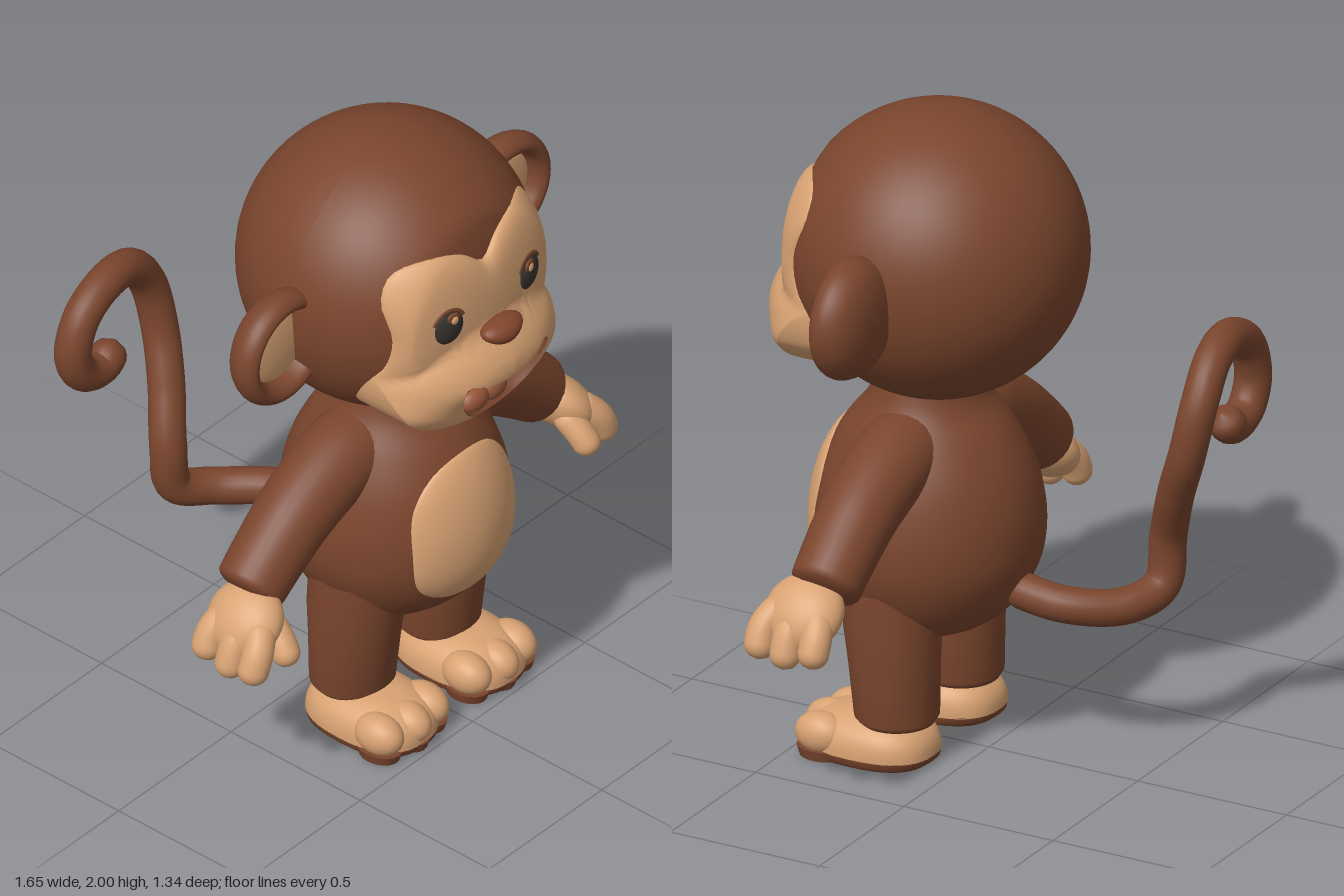
import * as THREE from 'three';

const mat = (name, color, side = THREE.FrontSide) => {
  const m = new THREE.MeshStandardMaterial({ color, side });
  m.name = name;
  return m;
};
const V = (x, y, z) => new THREE.Vector3(x, y, z);
const TAU = Math.PI * 2;
const { smoothstep, lerp } = THREE.MathUtils;

// Skin a surface over closed rings of equal point count
function loft(rings) {
  const n = rings[0].length, pos = [], idx = [];
  rings.forEach(r => r.forEach(p => pos.push(p.x, p.y, p.z)));
  for (let i = 0; i < rings.length - 1; i++) for (let j = 0; j < n; j++) {
    const a = i * n + j, d = i * n + (j + 1) % n, b = a + n, c = d + n;
    idx.push(a, b, c, a, c, d);
  }
  const g = new THREE.BufferGeometry();
  g.setAttribute('position', new THREE.Float32BufferAttribute(pos, 3));
  g.setIndex(idx);
  g.computeVertexNormals();
  return g;
}
const ring = (n, f) => Array.from({ length: n }, (_, j) => f(j / n * TAU));

// Round-ended tube whose radius changes along its path
function limb(points, radius, n = 40, cap = 1, sides = 20) {
  const curve = new THREE.CatmullRomCurve3(points.map(p => V(...p)));
  const L = curve.getLength(), fr = curve.computeFrenetFrames(n), rings = [];
  for (let i = 0; i <= n; i++) {
    const t = i / n, r = radius(t), c = curve.getPointAt(t);
    const d = Math.min(1, Math.min(t, 1 - t) * L / (r * cap));
    const rr = r * Math.sqrt(Math.max(0, 1 - (1 - d) ** 2));
    rings.push(ring(sides, a => c.clone()
      .addScaledVector(fr.binormals[i], Math.cos(a) * rr)
      .addScaledVector(fr.normals[i], Math.sin(a) * rr)));
  }
  return loft(rings);
}

// Radius by angle of a mirrored outline, given its +x half from top to bottom
function radial(half, cy) {
  const left = half.slice(1, -1).reverse().map(([x, y]) => [-x, y]);
  const curve = new THREE.CatmullRomCurve3([...half, ...left].map(([x, y]) => V(x, y - cy, 0)), true);
  const tab = curve.getPoints(400).map(p => [(Math.atan2(p.y, p.x) + TAU) % TAU, Math.hypot(p.x, p.y)])
    .sort((p, q) => p[0] - q[0]);
  return a => {
    const i = tab.findIndex(p => p[0] >= a);
    if (i <= 0) return tab[0][1];
    const [p, q] = [tab[i - 1], tab[i]];
    return lerp(p[1], q[1], (a - p[0]) / (q[0] - p[0] || 1));
  };
}

// Head surface with a flattened face, and the muzzle that swells from it
const HY = 1.555, HZ = 0.17, HR = 0.445;
const flatten = z => z > 0.5 ? 0.5 + (z - 0.5) * 0.45 : z;
const headZ = (x, y) => flatten(HZ + Math.sqrt(Math.max(0, HR * HR - x * x - (y - HY) ** 2)));
function muzzleZ(x, y) {
  const q = 1 - (x / 0.365) ** 2 - ((y - 1.365) / 0.2) ** 2;
  if (q <= 0) return 0;
  return 0.4 + lerp(0.23 * q ** 0.25, 0.27 * q ** 0.5, smoothstep(y, 1.29, 1.39));
}

// Torso half widths (x, z) by height
const torsoTable = new THREE.CatmullRomCurve3([
  V(0.01, 0.36, 0.01), V(0.13, 0.37, 0.12), V(0.23, 0.41, 0.21), V(0.295, 0.49, 0.285), V(0.338, 0.6, 0.333),
  V(0.345, 0.7, 0.343), V(0.33, 0.8, 0.333), V(0.3, 0.9, 0.303), V(0.25, 1, 0.25), V(0.19, 1.1, 0.175),
  V(0.16, 1.2, 0.15)]).getPoints(60);
function torsoZ(x, y) {
  const i = Math.max(1, torsoTable.findIndex(p => p.y >= y));
  const a = torsoTable[i - 1], b = torsoTable[i];
  const s = a.clone().lerp(b, (y - a.y) / (b.y - a.y));
  return 0.2 + s.z * Math.sqrt(Math.max(0, 1 - (x / s.x) ** 2));
}

export function createModel() {
  const model = new THREE.Group();
  model.name = 'monkey';
  const fur = mat('brown fur', 0x7a452d), skin = mat('tan skin', 0xd8a273);
  const eyeDark = mat('dark eye', 0x37332e), noseMat = mat('nose brown', 0x82462d);
  const mouthMat = mat('mouth brown', 0x74402a, THREE.DoubleSide), tongueMat = mat('tongue', 0x965639);
  const add = (parent, name, geo, material) => {
    const m = new THREE.Mesh(geo, material);
    m.name = name;
    parent.add(m);
    return m;
  };
  const ball = (parent, name, material, p, s) => {
    const m = add(parent, name, new THREE.SphereGeometry(1, 28, 20), material);
    m.position.set(...p);
    m.scale.set(...s);
    return m;
  };
  const group = (parent, name) => {
    const g = new THREE.Group();
    g.name = name;
    parent.add(g);
    return g;
  };

  // Head
  const headGeo = new THREE.SphereGeometry(HR, 64, 48).translate(0, HY, HZ);
  const hp = headGeo.attributes.position;
  for (let i = 0; i < hp.count; i++) hp.setZ(i, flatten(hp.getZ(i)));
  headGeo.computeVertexNormals();
  add(model, 'head', headGeo, fur);

  // Face mask, spanning from the mouth opening to the heart-shaped hairline
  const MY = 1.31, N = 120;
  const mouth = radial([[0, 1.36], [0.09, 1.37], [0.165, 1.392], [0.182, 1.375], [0.165, 1.3], [0.1, 1.228], [0, 1.207]], MY);
  const hairline = radial([[0, 1.725], [0.07, 1.775], [0.17, 1.805], [0.28, 1.78], [0.33, 1.7], [0.325, 1.58],
    [0.335, 1.48], [0.352, 1.4], [0.325, 1.3], [0.2, 1.205], [0, 1.165]], MY);
  const maskRings = [];
  for (let i = 0; i <= 26; i++) {
    const t = 1 - (1 - i / 26) ** 2;
    maskRings.push(ring(N, a => {
      const r = lerp(mouth(a), hairline(a), t), x = r * Math.cos(a), y = MY + r * Math.sin(a), h = headZ(x, y);
      return V(x, y, i === 26 ? h - 0.01 : Math.max(h + 0.032 * Math.sqrt(1 - t ** 12), muzzleZ(x, y)));
    }));
  }
  add(model, 'faceMask', loft(maskRings), skin);

  // Recessed mouth and tongue
  const mouthRings = [0.001, 0.5, 0.96, 1].map(t => ring(N, a => {
    const r = t * mouth(a), x = r * Math.cos(a), y = MY + r * Math.sin(a);
    return V(x, y, t === 1 ? muzzleZ(x, y) : 0.54);
  }));
  add(model, 'mouthCavity', loft(mouthRings), mouthMat);
  for (const s of [-1, 1]) ball(model, 'tongue', tongueMat, [s * 0.04, 1.235, 0.54], [0.055, 0.04, 0.035]);

  // Nose, wider at the top
  const noseGeo = new THREE.SphereGeometry(1, 28, 20);
  const np = noseGeo.attributes.position;
  for (let i = 0; i < np.count; i++) np.setX(i, np.getX(i) * (1 + 0.35 * np.getY(i)));
  noseGeo.computeVertexNormals();
  const nose = add(model, 'nose', noseGeo, noseMat);
  nose.position.set(0, 1.505, 0.612);
  nose.scale.set(0.074, 0.04, 0.05);

  // Torso and belly patch
  add(model, 'torso', loft(torsoTable.map(p =>
    ring(48, a => V(p.x * Math.cos(a), p.y, 0.2 + p.z * Math.sin(a))))), fur);
  const belly = radial([[0, 0.98], [0.12, 0.95], [0.2, 0.86], [0.222, 0.72], [0.2, 0.58], [0.12, 0.515], [0, 0.5]], 0.73);
  const bellyRings = [];
  for (let i = 0; i <= 14; i++) {
    const t = Math.max(0.001, 1 - (1 - i / 14) ** 2);
    bellyRings.push(ring(64, a => {
      const r = t * belly(a), x = r * Math.cos(a), y = 0.73 + r * Math.sin(a);
      return V(x, y, torsoZ(x, y) + 0.016 * Math.sqrt(1 - t ** 10) - (i === 14 ? 0.008 : 0));
    }));
  }
  add(model, 'bellyPatch', loft(bellyRings), skin);

  // Curled tail
  add(model, 'tail', limb([[0, 0.53, -0.06], [-0.02, 0.5, -0.25], [-0.12, 0.49, -0.39], [-0.23, 0.53, -0.45],
    [-0.25, 0.68, -0.46], [-0.19, 0.85, -0.52], [-0.15, 1, -0.58], [-0.17, 1.16, -0.61], [-0.26, 1.27, -0.605],
    [-0.38, 1.29, -0.59], [-0.49, 1.23, -0.585], [-0.53, 1.11, -0.585], [-0.485, 1.02, -0.585],
    [-0.4, 1, -0.585], [-0.34, 1.06, -0.585]], () => 0.056, 130), fur);

  // Paired parts, built on the left and mirrored
  for (const s of [1, -1]) {
    const side = group(model, s > 0 ? 'leftSide' : 'rightSide');
    side.scale.x = s;

    // Eye with upper lid and glint
    const eye = group(side, 'eye');
    eye.position.set(0.175, 1.587, 0.547);
    eye.rotation.y = 0.2;
    ball(eye, 'eyeball', eyeDark, [0, 0, 0], [0.062, 0.066, 0.034]);
    const lid = add(eye, 'eyelid', new THREE.TorusGeometry(0.06, 0.008, 8, 24, Math.PI * 0.7), fur);
    lid.rotation.z = Math.PI * 0.15;
    lid.position.z = 0.012;
    ball(eye, 'iris', fur, [-0.01, 0.033, 0.025], [0.024, 0.022, 0.007]);
    ball(eye, 'glint', skin, [-0.012, 0.03, 0.03], [0.013, 0.014, 0.006]);

    // Ear shell and inner ear
    const ear = group(side, 'ear');
    ear.position.set(0.495, 1.515, 0.17);
    const shell = new THREE.SplineCurve([[0.001, -0.085], [0.09, -0.075], [0.155, -0.045], [0.185, 0.005], [0.178, 0.045],
      [0.155, 0.063], [0.132, 0.05], [0.12, 0.015], [0.115, -0.01]].map(p => new THREE.Vector2(...p))).getPoints(32);
    add(ear, 'earShell', new THREE.LatheGeometry(shell, 40).rotateX(Math.PI / 2), fur);
    ball(ear, 'innerEar', skin, [0, 0, 0], [0.128, 0.128, 0.025]);

    // Arm
    add(side, 'arm', limb([[0.08, 0.97, 0.19], [0.24, 0.955, 0.19], [0.42, 0.875, 0.19], [0.55, 0.78, 0.19],
      [0.655, 0.69, 0.19]], t => lerp(0.135, 0.106, t), 60, 0.35, 28), fur);

    // Hand: palm, thumb and three fingers
    const hand = group(side, 'hand');
    const palm = ball(hand, 'palm', skin, [0.695, 0.645, 0.225], [0.075, 0.12, 0.125]);
    palm.rotation.z = 0.7;
    add(hand, 'thumb', limb([[0.65, 0.66, 0.27], [0.665, 0.59, 0.345], [0.675, 0.535, 0.38]], () => 0.043, 24), skin);
    [[0.325, 0.51], [0.24, 0.495], [0.15, 0.515]].forEach(([z, y]) =>
      add(hand, 'finger', limb([[0.69, 0.67, lerp(z, 0.22, 0.4)], [0.755, 0.6, z], [0.793, y, z]], () => 0.047, 28), skin));

    // Leg
    const legRings = [[0.12, 0.001, 0.001], [0.12, 0.115, 0.112], [0.14, 0.132, 0.124], [0.3, 0.138, 0.135],
      [0.42, 0.143, 0.147], [0.55, 0.135, 0.15]].map(([y, rx, rz]) =>
      ring(32, a => V(0.19 + rx * Math.cos(a), y, 0.2 + (y - 0.12) * 0.05 + rz * Math.sin(a))));
    add(side, 'leg', loft(legRings), fur);

    // Foot, toes and soles
    const pw = v => Math.sign(v) * Math.abs(v) ** 0.8;
    const print = (k, y) => ring(40, a => V(0.195 + k * 0.15 * pw(Math.cos(a)), y, 0.28 + k * 0.205 * pw(Math.sin(a))));
    const foot = group(side, 'foot');
    const footRings = [];
    for (let i = 0; i <= 12; i++) {
      const u = Math.sin(i / 12 * Math.PI / 2);
      footRings.push(print(Math.max(0.001, (1 - u ** 2.6) ** 0.42), 0.03 + 0.12 * u));
    }
    add(foot, 'instep', loft(footRings), skin);
    add(foot, 'sole', loft([print(0.001, 0), print(0.9, 0), print(0.98, 0.012), print(1, 0.032)]), fur);
    for (const dx of [-0.1, 0, 0.1]) {
      const z = dx ? 0.395 : 0.415;
      ball(foot, 'toe', skin, [0.195 + dx, 0.074, z], [0.06, 0.064, 0.083]);
      const pad = add(foot, 'toePad', new THREE.CylinderGeometry(0.058, 0.05, 0.032, 20), fur);
      pad.position.set(0.195 + dx, 0.016, z);
      pad.scale.z = 1.35;
    }
  }
  return model;
}
